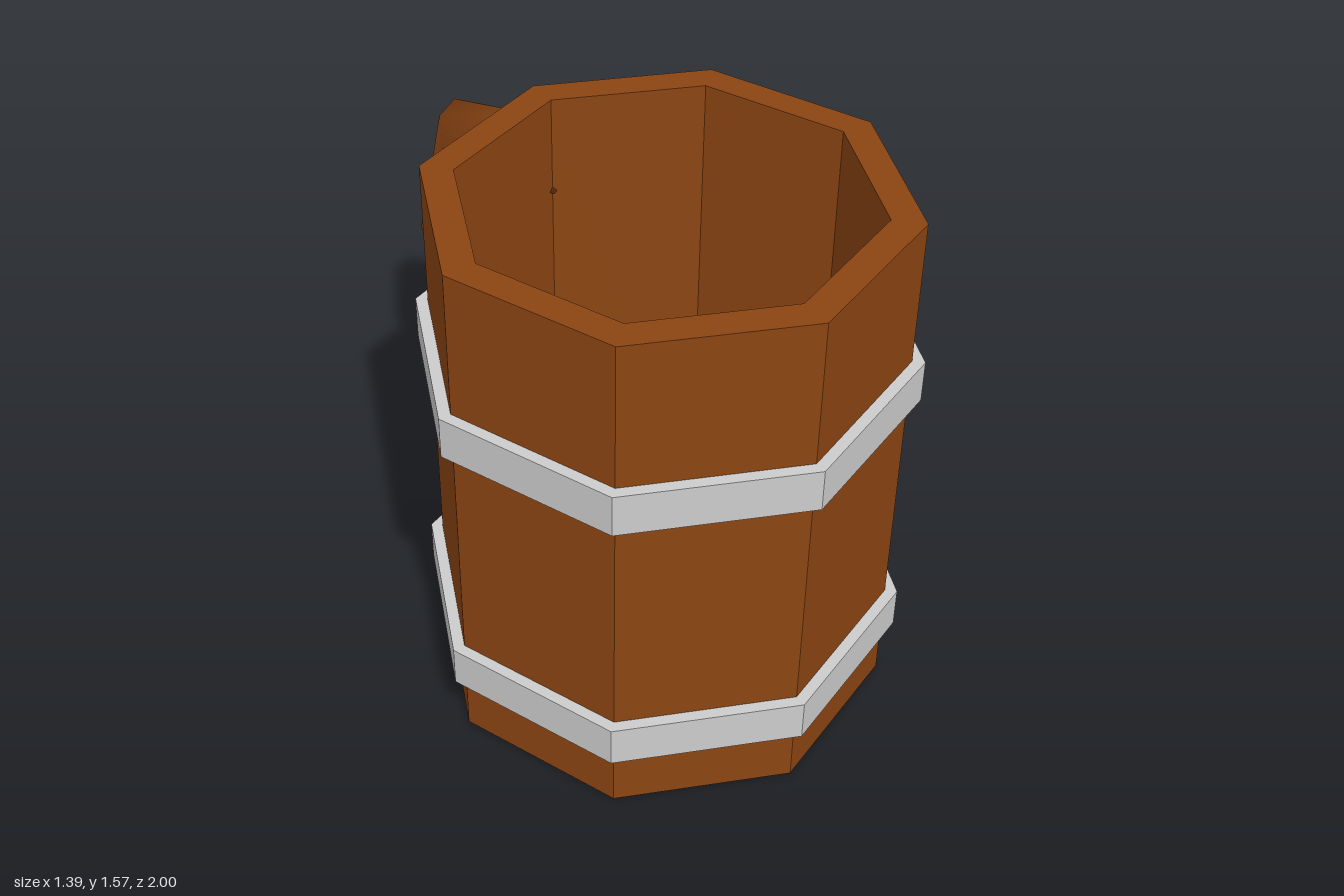
import * as THREE from 'three';

const SIDES = 8, CENTER_Z = 0.305;
const wood = new THREE.MeshStandardMaterial({ color: 0x8b4513, flatShading: true });
const smoothWood = new THREE.MeshStandardMaterial({ color: 0x8b4513 });
const metal = new THREE.MeshStandardMaterial({ color: 0xcccccc, flatShading: true });

// Eight-sided turned part from a [radius, y] profile
function turned(name, profile, material) {
  const points = profile.map(([r, y]) => new THREE.Vector2(r, y));
  const mesh = new THREE.Mesh(new THREE.LatheGeometry(points, SIDES), material);
  mesh.name = name;
  mesh.position.z = CENTER_Z;
  return mesh;
}

// Mitred tube: each ring is [z, y, outward dz, outward dy, half width in x]
function handleGeometry(rings) {
  const positions = [], index = [];
  rings.forEach(([z, y, dz, dy, w], i) => {
    for (let j = 0; j < SIDES; j++) {
      const a = (j / SIDES) * Math.PI * 2;
      positions.push(w * Math.sin(a), y + dy * Math.cos(a), z + dz * Math.cos(a));
      if (i === rings.length - 1) continue;
      const p = i * SIDES + j, q = i * SIDES + (j + 1) % SIDES;
      index.push(p, q, p + SIDES, q, q + SIDES, p + SIDES);
    }
  });
  const geometry = new THREE.BufferGeometry();
  geometry.setAttribute('position', new THREE.Float32BufferAttribute(positions, 3));
  geometry.setIndex(index);
  geometry.computeVertexNormals();
  return geometry;
}

export function createModel() {
  const mug = new THREE.Group();
  mug.name = 'mug';

  // Hollow wooden body with a floor
  mug.add(turned('body', [[0, 0], [0.66, 0], [0.66, 1.57], [0.567, 1.57], [0.567, 0.1], [0, 0.1]], wood));

  // Metal hoops
  for (const [name, y] of [['lowerBand', 0.185], ['upperBand', 1.015]]) {
    const t = y + 0.125;
    mug.add(turned(name, [[0.64, y], [0.695, y], [0.695, t], [0.64, t], [0.64, y]], metal));
  }

  // Bent handle, its closed ends sunk into the wall
  const w = 0.095;
  const handle = new THREE.Mesh(handleGeometry([
    [-0.295, 1.379, 0, 0, 0],
    [-0.295, 1.379, -0.04, 0.108, w],
    [-0.73, 1.2225, -0.09, 0.0825, w],
    [-0.8725, 0.79, -0.1275, 0, w],
    [-0.7275, 0.5825, -0.0925, -0.0825, w],
    [-0.295, 0.42, -0.04, -0.108, w],
    [-0.295, 0.42, 0, 0, 0],
  ]), smoothWood);
  handle.name = 'handle';
  mug.add(handle);

  return mug;
}
